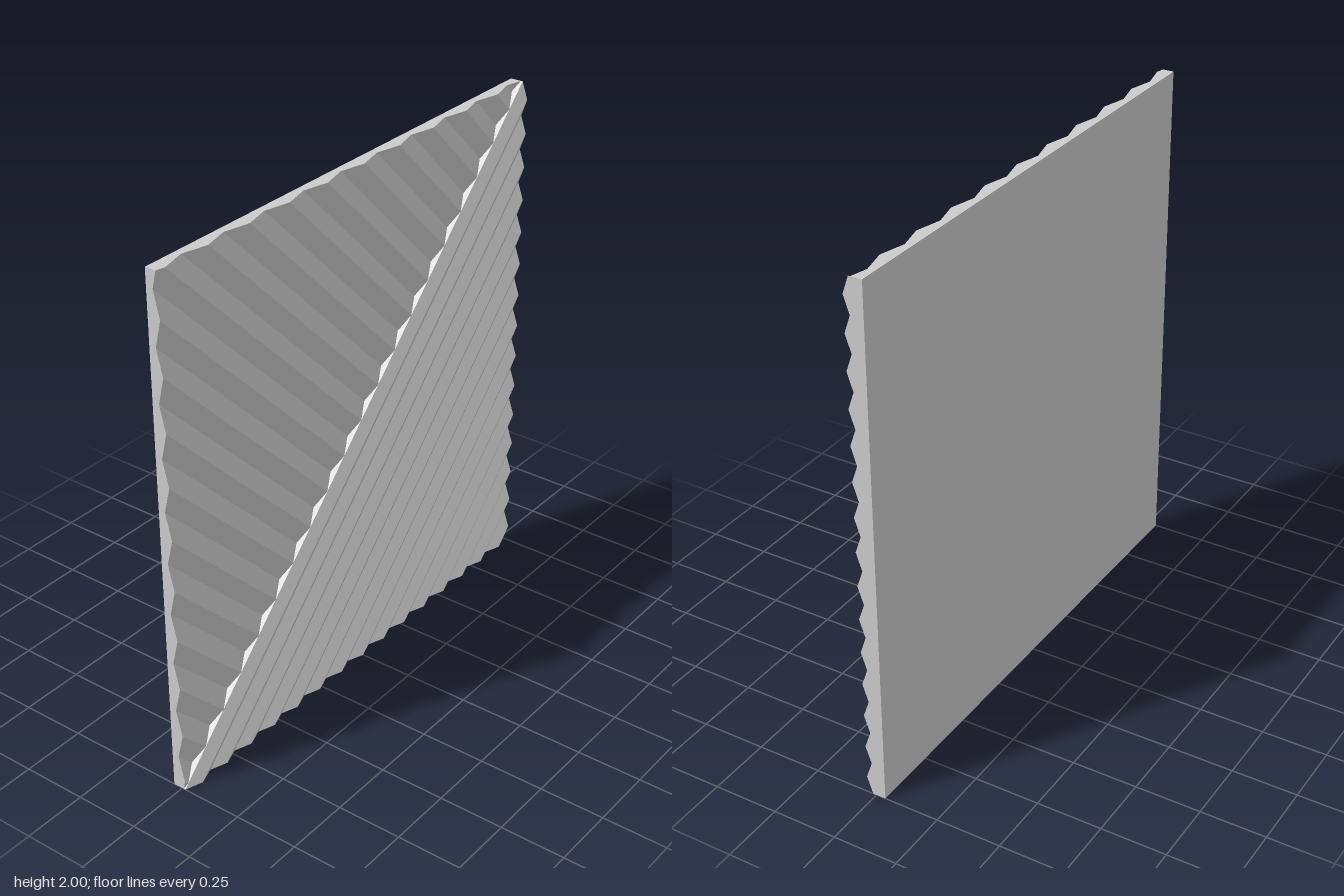
import * as THREE from 'three';

const BACK = -0.037, LOW = -0.01, MID = 0.014, HIGH = 0.037;

// Collects flat quads into one geometry
function builder() {
  const pos = [];
  const quad = (a, b, c, d) => pos.push(...a, ...b, ...c, ...a, ...c, ...d);
  const back = (p) => [p[0], p[1], BACK];
  return {
    quad,
    // front face of a strip, with walls to the back along the listed edges
    strip(pts, edges) {
      quad(...pts);
      for (const i of edges) {
        const p = pts[i], q = pts[(i + 1) % 4];
        quad(back(p), back(q), q, p);
      }
    },
    mesh(name) {
      const g = new THREE.BufferGeometry();
      g.setAttribute('position', new THREE.Float32BufferAttribute(pos, 3));
      g.computeVertexNormals();
      const m = new THREE.Mesh(g, new THREE.MeshStandardMaterial({ color: 0xcccccc, flatShading: true }));
      m.name = name;
      return m;
    },
  };
}

// Ridges running along the diagonal, in the lower right half
function parallelRidges() {
  const b = builder(), n = 30, step = 2 / n;
  for (let i = 0; i < n; i++) {
    const u = i * step, v = u + step;
    const zu = i % 2 ? HIGH : MID, zv = i % 2 ? MID : HIGH;
    b.strip(
      [[-1 + u, 0, zu], [-1 + v, 0, zv], [1, 2 - v, zv], [1, 2 - u, zu]],
      i === 0 ? [0, 2, 3] : [0, 2]
    );
  }
  return b.mesh('parallelRidges');
}

// Ridges running across the diagonal, in the upper left half
function crossRidges() {
  const b = builder(), period = 0.2, valley = 2 / 15;
  const height = (s) => {
    const t = (((s - valley) / period) % 1 + 1) % 1;
    return LOW + (MID - LOW) * (1 - Math.abs(2 * t - 1));
  };
  const onDiagonal = (s) => [s / 2 - 1, s / 2, height(s)];
  const onRim = (s) => (s <= 2 ? [-1, s, height(s)] : [s - 3, 2, height(s)]);
  const breaks = [0, 2, 4];
  for (let s = valley - period / 2; s < 4; s += period / 2) breaks.push(s);
  breaks.sort((p, q) => p - q);
  for (let i = 0; i + 1 < breaks.length; i++) {
    const s = breaks[i], t = breaks[i + 1];
    b.strip([onDiagonal(s), onDiagonal(t), onRim(t), onRim(s)], [2]);
  }
  return b.mesh('crossRidges');
}

// Flat rear face
function backFace() {
  const b = builder();
  b.quad([1, 0, BACK], [-1, 0, BACK], [-1, 2, BACK], [1, 2, BACK]);
  return b.mesh('backFace');
}

export function createModel() {
  const group = new THREE.Group();
  group.name = 'ridgedPanel';
  group.add(parallelRidges(), crossRidges(), backFace());
  return group;
}
